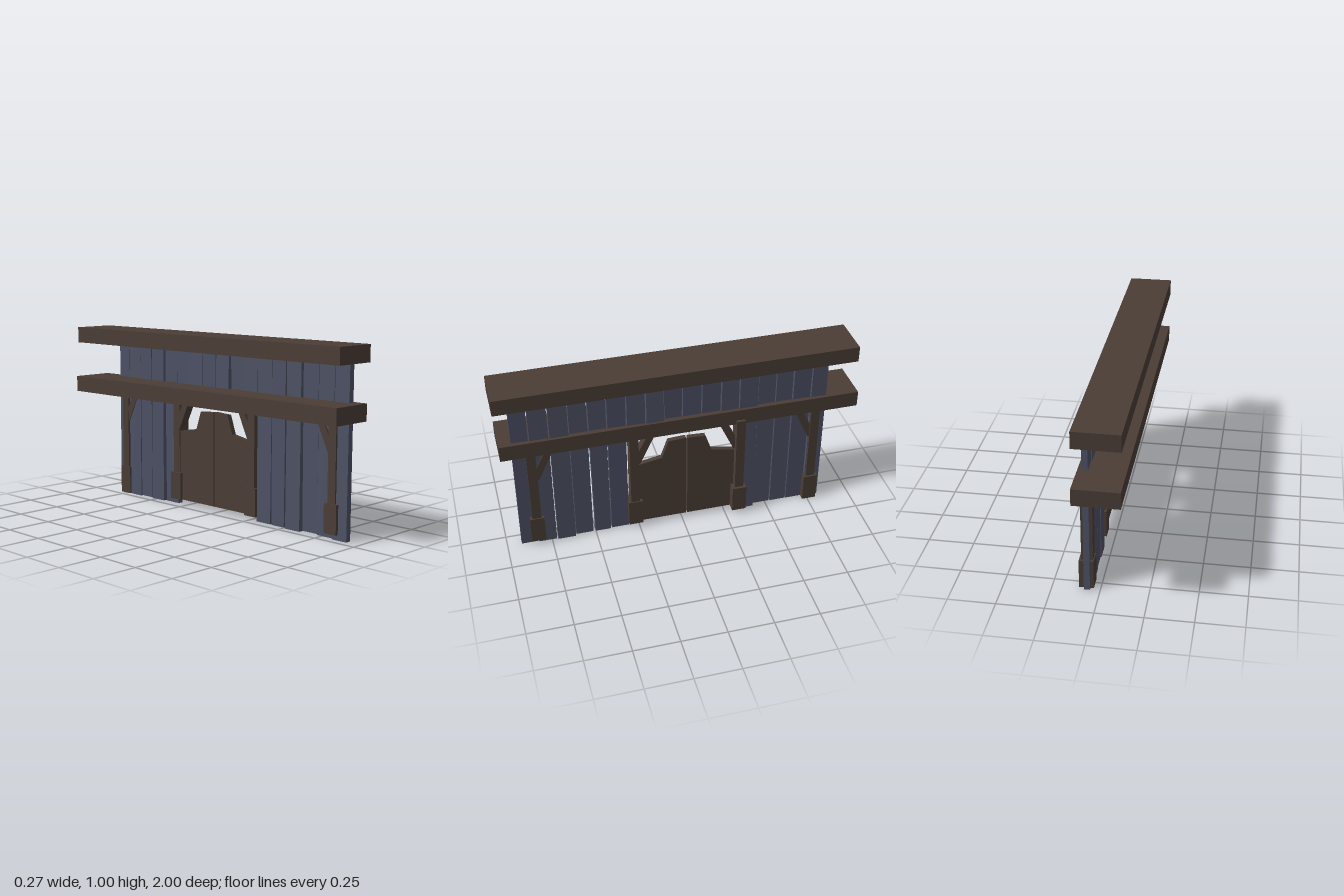
import * as THREE from 'three';

const timber = new THREE.MeshStandardMaterial({ color: 0x4a3d36 });
timber.name = 'darkTimber';
const paint = new THREE.MeshStandardMaterial({ color: 0x4d5164 });
paint.name = 'blueGreyPlank';

// Box given by its limits on each axis
function box(name, mat, x0, x1, y0, y1, z0, z1) {
  const geo = new THREE.BoxGeometry(x1 - x0, y1 - y0, Math.abs(z1 - z0));
  geo.translate((x0 + x1) / 2, (y0 + y1) / 2, (z0 + z1) / 2);
  const mesh = new THREE.Mesh(geo, mat);
  mesh.name = name;
  return mesh;
}

// Flat panel: outline in [z, y], thickness from x0 to x1
function panel(name, points, x0, x1) {
  const shape = new THREE.Shape(points.map(([z, y]) => new THREE.Vector2(-z, y)));
  const geo = new THREE.ExtrudeGeometry(shape, { depth: x1 - x0, bevelEnabled: false });
  geo.rotateY(Math.PI / 2);
  geo.translate(x0, 0, 0);
  const mesh = new THREE.Mesh(geo, timber);
  mesh.name = name;
  return mesh;
}

export function createModel() {
  const model = new THREE.Group();
  model.name = 'saloonFront';

  // Two long overhanging beams
  model.add(box('topBeam', timber, -0.137, 0.104, 0.915, 1.005, -0.98, 1));
  model.add(box('lowerBeam', timber, -0.136, 0.104, 0.62, 0.71, -1, 0.985));

  // Wall planks, slightly uneven; those over the doorway are short
  const seams = [0.923, 0.826, 0.72, 0.614, 0.511, 0.41, 0.305, 0.2, 0.099, -0.003,
    -0.11, -0.217, -0.319, -0.426, -0.528, -0.626, -0.73, -0.821];
  const offsets = [0, 0.006, -0.006, 0.003, -0.004];
  const planks = new THREE.Group();
  planks.name = 'wallPlanks';
  for (let i = 0; i < seams.length - 1; i++) {
    const overDoor = i >= 6 && i <= 11;
    const x = 0.065 + offsets[(i * 3) % 5];
    const bottom = overDoor ? 0.64 : 0.002 + (i % 3) * 0.002;
    const plank = box('plank', paint, x - 0.016, x + 0.016, bottom, 0.93,
      seams[i + 1] + 0.003, seams[i] - 0.003);
    // Lean the foot of each plank a little in depth
    const pos = plank.geometry.attributes.position;
    const lean = ((i * 2) % 5 - 2) * 0.003;
    for (let k = 0; k < pos.count; k++) {
      if (pos.getY(k) < 0.7) {
        pos.setX(k, pos.getX(k) + lean);
        // One plank tapers, leaving a narrow wedge of daylight
        if (i === 4 && pos.getZ(k) > 0.46) pos.setZ(k, pos.getZ(k) - 0.007);
      }
    }
    plank.geometry.computeVertexNormals();
    planks.add(plank);
  }
  model.add(planks);

  // Posts: z centre, x limits, top, footing x limits and y limits, brace direction
  const posts = [
    { z: 0.825, x: [0.036, 0.098], top: 0.63, foot: [0.027, 0.104], y: [0.03, 0.187], dir: -1 },
    { z: 0.27, x: [0.036, 0.098], top: 0.63, foot: [0.027, 0.104], y: [0.03, 0.187], dir: -1 },
    { z: -0.325, x: [0.05, 0.12], top: 0.645, foot: [0.04, 0.135], y: [0.03, 0.187], dir: 1 },
    { z: -0.76, x: [0.04, 0.101], top: 0.63, foot: [0.035, 0.112], y: [0.003, 0.165], dir: 1 },
  ];
  for (const p of posts) {
    const group = new THREE.Group();
    group.name = 'post';
    group.add(box('postShaft', timber, ...p.x, p.y[0] + 0.005, p.top, p.z - 0.025, p.z + 0.025));
    group.add(box('postFooting', timber, ...p.foot, ...p.y, p.z - 0.04, p.z + 0.04));
    // Diagonal brace up to the lower beam
    const at = (d, y) => [p.z + p.dir * d, y];
    group.add(panel('brace',
      [at(0.02, 0.445), at(0.034, 0.45), at(0.118, 0.63), at(0.076, 0.63), at(0.02, 0.52)],
      0.042, 0.093));
    model.add(group);
  }

  // Pair of swinging doors with stepped tops
  model.add(panel('leftDoor', [[0.246, 0.03], [0.246, 0.432], [0.113, 0.456], [0.076, 0.562],
    [-0.023, 0.567], [-0.023, 0.03]], 0.056, 0.084));
  model.add(panel('rightDoor', [[-0.031, 0.03], [-0.031, 0.565], [-0.133, 0.56], [-0.169, 0.456],
    [-0.302, 0.432], [-0.302, 0.03]], 0.056, 0.084));

  return model;
}
